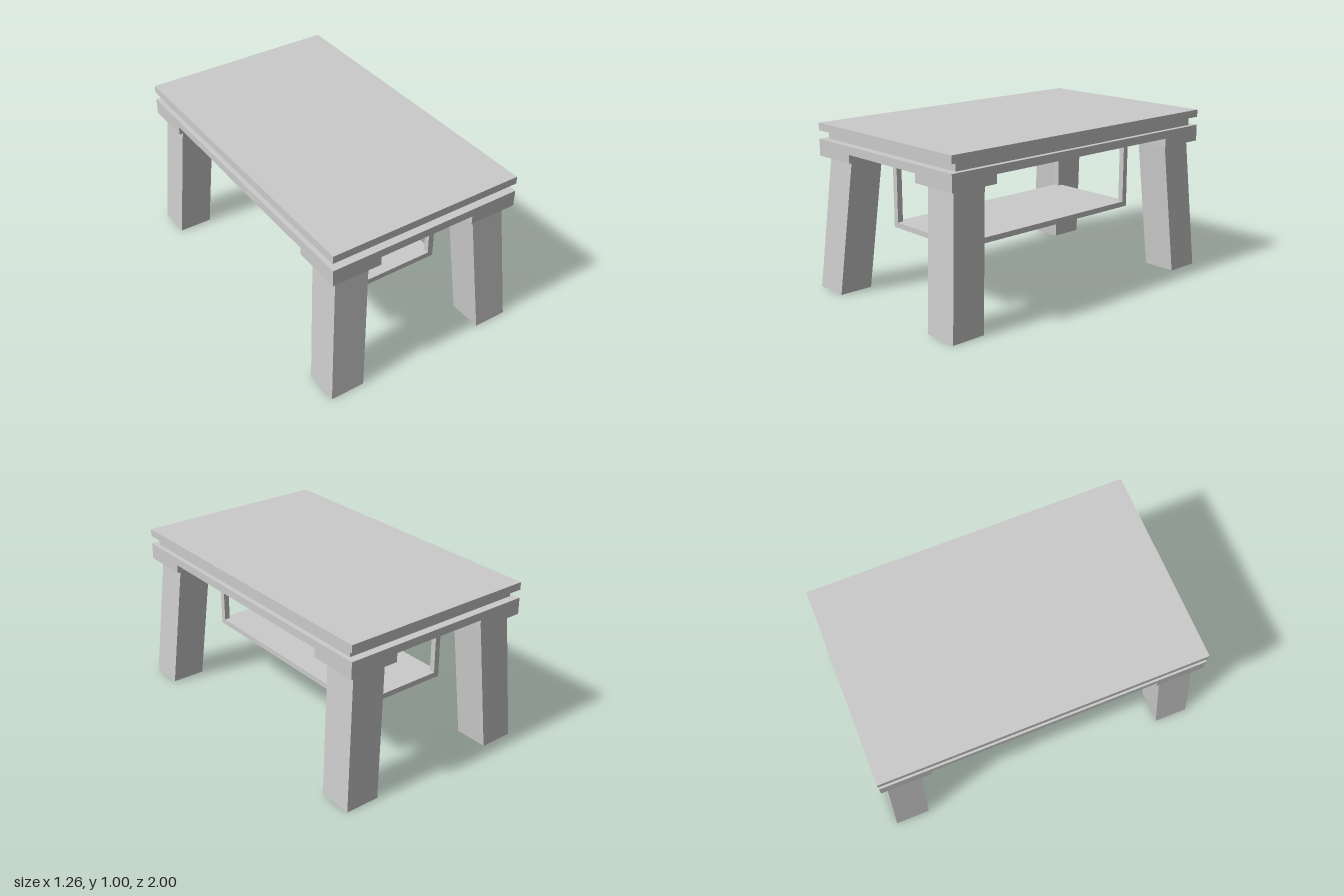
import * as THREE from 'three';

const material = new THREE.MeshStandardMaterial({ color: 0xcccccc, flatShading: true, side: THREE.DoubleSide });

// Box given by its size in x and z, its bottom and top heights, and its centre
function slab(name, w, d, y0, y1, x = 0, z = 0, open = false) {
  const geo = new THREE.BoxGeometry(w, y1 - y0, d);
  if (open) openBottom(geo);
  const mesh = new THREE.Mesh(geo, material);
  mesh.name = name;
  mesh.position.set(x, (y0 + y1) / 2, z);
  return mesh;
}

// Drop the two triangles of a box's underside
function openBottom(geo) {
  const index = Array.from(geo.index.array);
  index.splice(18, 6);
  geo.setIndex(index);
  geo.clearGroups();
}

// Hollow slanted leg: a box whose lower end is shifted outwards
function leg(name, x, z, dx, dz) {
  const height = 0.805;
  const geo = new THREE.BoxGeometry(0.21, height, 0.21);
  geo.translate(0, height / 2, 0);
  const p = geo.attributes.position;
  for (let i = 0; i < p.count; i++) {
    const k = 1 - p.getY(i) / height;
    p.setX(i, p.getX(i) + x + dx * k);
    p.setZ(i, p.getZ(i) + z + dz * k);
  }
  openBottom(geo);
  geo.computeVertexNormals();
  const mesh = new THREE.Mesh(geo, material);
  mesh.name = name;
  return mesh;
}

export function createModel() {
  const table = new THREE.Group();
  table.name = 'table';

  // Layered top
  table.add(slab('tabletop', 1.212, 1.97, 0.955, 1));
  table.add(slab('recessedLayer', 1.155, 1.875, 0.905, 0.955));
  table.add(slab('apron', 1.212, 1.97, 0.857, 0.905));

  // Hanging shelf, open underneath
  const shelfW = 0.609, shelfD = 1.37, post = 0.035;
  table.add(slab('shelf', shelfW, shelfD, 0.377, 0.41, 0, 0, true));

  // Corner blocks, legs and shelf posts
  for (const sx of [-1, 1]) {
    for (const sz of [-1, 1]) {
      const corner = (sz > 0 ? 'front' : 'back') + (sx > 0 ? 'Left' : 'Right');
      table.add(slab(corner + 'Block', 0.302, 0.3, 0.805, 0.857, sx * 0.455, sz * 0.835));
      const topZ = sz > 0 ? 0.833 : -0.839;
      const splayZ = sz > 0 ? 0.068 : -0.04;
      table.add(leg(corner + 'Leg', sx * 0.455, topZ, sx * 0.062, splayZ));
      table.add(slab(corner + 'ShelfPost', post, post, 0.41, 0.857,
        sx * (shelfW - post) / 2, sz * (shelfD - post) / 2));
    }
  }

  // The table stands turned by a fraction of a degree
  table.rotation.y = 0.0075;
  table.position.set(0.0065, 0, -0.01);

  const model = new THREE.Group();
  model.name = 'coffeeTable';
  model.add(table);
  return model;
}
